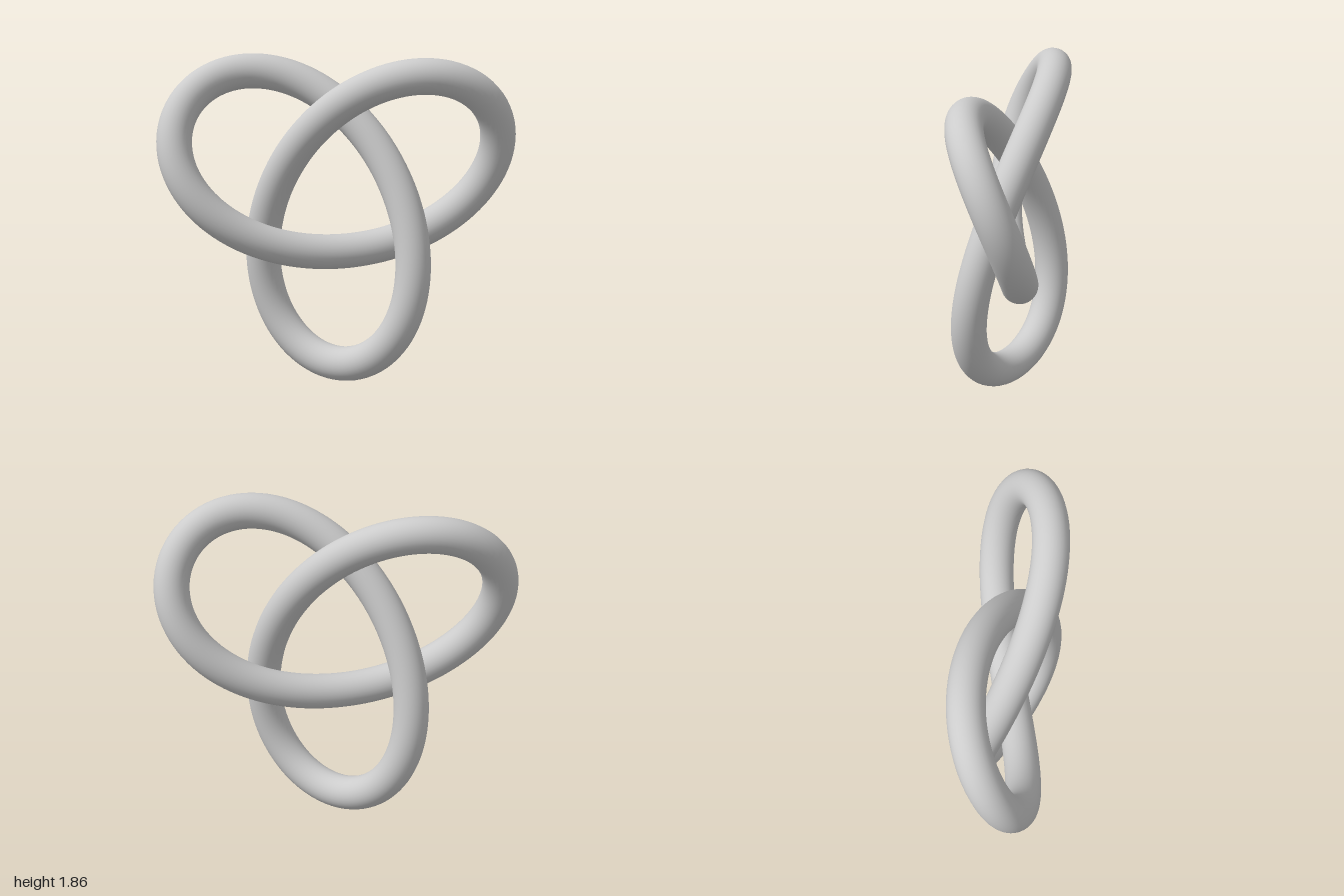
import * as THREE from 'three';

const S = 0.3294; // knot scale
const RADIUS = 0.3 * S; // tube radius

// Closed trefoil centre line, standing upright with one lobe at the bottom
class TrefoilCurve extends THREE.Curve {
  getPoint(u, target = new THREE.Vector3()) {
    const t = u * Math.PI * 2;
    return target.set(
      S * (Math.sin(t) + 2 * Math.sin(2 * t)),
      S * (Math.cos(t) - 2 * Math.cos(2 * t)) + 3 * S + RADIUS,
      -0.5 * S * Math.sin(3 * t)
    );
  }
}

export function createModel() {
  const group = new THREE.Group();
  group.name = 'trefoilKnot';

  // Round tube swept along the knot
  const tube = new THREE.Mesh(
    new THREE.TubeGeometry(new TrefoilCurve(), 240, RADIUS, 32, true),
    new THREE.MeshStandardMaterial({ color: 0xcccccc })
  );
  tube.name = 'knotTube';
  group.add(tube);
  return group;
}
